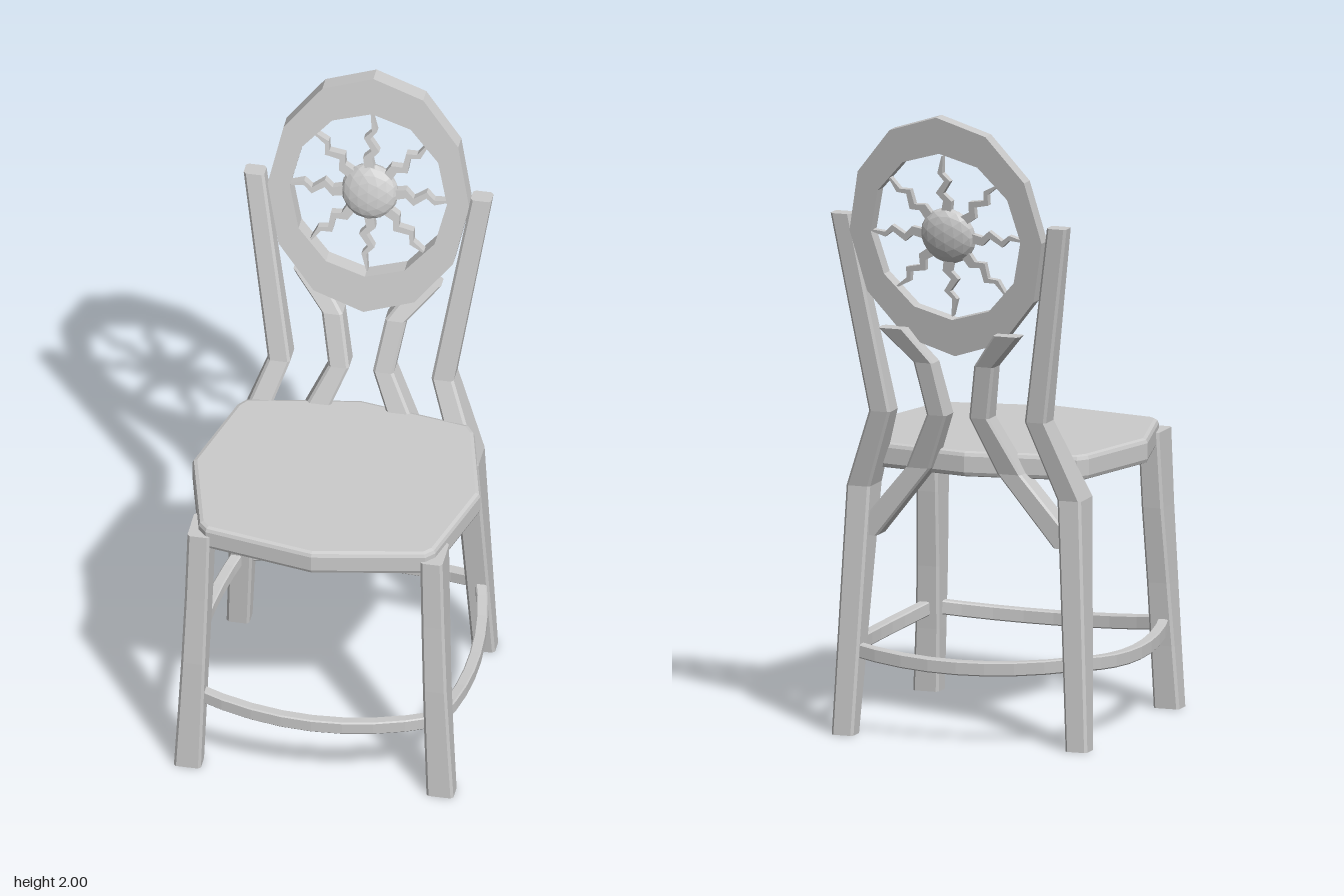
import * as THREE from 'three';

const material = new THREE.MeshStandardMaterial({ color: 0xcccccc, flatShading: true, side: THREE.DoubleSide });
const V = (x, y, z) => new THREE.Vector3(x, y, z);
const UP = V(0, 1, 0);

// Rectangle with chamfered corners round centre c, spanned by u and v.
function section(c, u, v, w, h, chamfer = 0.008) {
  const a = w / 2, b = h / 2, k = chamfer;
  return [[a, k - b], [a, b - k], [a - k, b], [k - a, b], [-a, b - k], [-a, k - b], [k - a, -b], [a - k, -b]]
    .map(([p, q]) => c.clone().addScaledVector(u, p).addScaledVector(v, q));
}

// Closed solid through a row of equal cross-sections.
function loft(rings) {
  const n = rings[0].length, pos = [];
  const tri = (...pts) => pts.forEach(p => pos.push(p.x, p.y, p.z));
  for (let r = 0; r < rings.length - 1; r++) {
    for (let i = 0; i < n; i++) {
      const j = (i + 1) % n, A = rings[r], B = rings[r + 1];
      tri(A[i], A[j], B[j]);
      tri(A[i], B[j], B[i]);
    }
  }
  const first = rings[0], last = rings[rings.length - 1];
  for (let i = 1; i < n - 1; i++) {
    tri(first[0], first[i + 1], first[i]);
    tri(last[0], last[i], last[i + 1]);
  }
  const g = new THREE.BufferGeometry();
  g.setAttribute('position', new THREE.Float32BufferAttribute(pos, 3));
  g.computeVertexNormals();
  return g;
}

// Upright bar from rows of [x, y, z, width, depth], bottom to top.
const bar = (rows, side) => loft(rows.map(([x, y, z, w, d]) =>
  section(V(side * x, y, z), V(1, 0, 0), V(0, 0, -1), w, d)));

// Stretcher bowing outward and sagging between two corners.
function stretcher(from, to, bow) {
  const dir = to.clone().sub(from).normalize();
  const out = UP.clone().cross(dir);
  const rings = [];
  for (let i = 0; i <= 8; i++) {
    const t = i / 8, arc = 4 * t * (1 - t);
    const c = from.clone().lerp(to, t).addScaledVector(out, bow * arc);
    c.y -= 0.025 * arc;
    rings.push(section(c, out, UP, 0.035, 0.044, 0.004));
  }
  return loft(rings);
}

// Lean a flat part backward and put it at the middle of the back.
function lean(g) {
  const p = g.attributes.position;
  for (let i = 0; i < p.count; i++) {
    p.setXYZ(i, p.getX(i), p.getY(i) + 1.615, p.getZ(i) - 0.422 - 0.21 * p.getY(i));
  }
  g.computeVertexNormals();
  return g;
}

const oval = (rx, ry, n = 12) => Array.from({ length: n }, (_, i) => {
  const a = (i / n) * Math.PI * 2;
  return new THREE.Vector2(rx * Math.sin(a), ry * Math.cos(a));
});

export function createModel() {
  const chair = new THREE.Group();
  chair.name = 'chair';
  const add = (name, geometry, parent = chair) => {
    const m = new THREE.Mesh(geometry, material);
    m.name = name;
    parent.add(m);
  };

  // Seat: octagon with clipped corners and bevelled rim
  const right = [[0, 0.52], [0.345, 0.455], [0.372, 0.425], [0.453, 0.115], [0.375, -0.19], [0.35, -0.225], [0, -0.285]];
  const left = right.slice(1, -1).reverse().map(([x, z]) => [-x, z]);
  const seatShape = new THREE.Shape([...right, ...left].map(([x, z]) => new THREE.Vector2(x, -z)));
  const seat = new THREE.ExtrudeGeometry(seatShape, {
    depth: 0.05, bevelThickness: 0.015, bevelSize: 0.015, bevelOffset: -0.015, bevelSegments: 2,
  });
  seat.rotateX(-Math.PI / 2).translate(0, 0.845, 0);
  add('seat', seat);

  // Legs, back posts and bent slats, mirrored
  for (const s of [1, -1]) {
    const label = s > 0 ? 'left' : 'right';
    add(label + 'FrontLeg', bar([
      [0.397, 0, 0.453, 0.085, 0.066], [0.388, 0.2, 0.446, 0.08, 0.076], [0.38, 0.4, 0.437, 0.075, 0.09],
      [0.372, 0.64, 0.418, 0.072, 0.108], [0.366, 0.88, 0.405, 0.07, 0.12],
    ], s));
    add(label + 'BackLegAndPost', bar([
      [0.386, 0, -0.301, 0.072, 0.064], [0.348, 0.78, -0.238, 0.078, 0.115],
      [0.257, 1.03, -0.31, 0.07, 0.08], [0.357, 1.66, -0.402, 0.065, 0.052],
    ], s));
    add(label + 'BackSlat', bar([
      [0.335, 0.625, -0.24, 0.09, 0.08], [0.15, 0.85, -0.255, 0.08, 0.08], [0.07, 1.03, -0.31, 0.065, 0.075],
      [0.1, 1.2, -0.35, 0.066, 0.065], [0.19, 1.31, -0.4, 0.085, 0.055],
    ], s));
  }

  // Four bowed stretchers between the legs
  const corners = [V(0.385, 0.268, 0.44), V(-0.385, 0.268, 0.44), V(-0.375, 0.268, -0.28), V(0.375, 0.268, -0.28)];
  ['front', 'right', 'back', 'left'].forEach((label, i) =>
    add(label + 'Stretcher', stretcher(corners[i], corners[(i + 1) % 4], i % 2 ? 0.05 : 0.065)));

  // Oval frame of the back
  const frame = new THREE.Shape(oval(0.317, 0.39));
  frame.holes.push(new THREE.Path(oval(0.247, 0.272)));
  add('ovalFrame', lean(new THREE.ExtrudeGeometry(frame, { depth: 0.05, bevelEnabled: false }).translate(0, 0, -0.025)));

  // Sun: faceted disc with eight zigzag rays
  const sun = new THREE.Group();
  sun.name = 'sun';
  chair.add(sun);
  add('sunDisc', lean(new THREE.IcosahedronGeometry(0.09, 2).scale(1, 1, 0.45)), sun);
  const zigzag = [[0.07, 0, 0.016], [0.115, 0.01, 0.014], [0.14, -0.014, 0.012], [0.18, 0.014, 0.01], [0.205, -0.008, 0.008], [0.262, 0.004, 0.002]];
  const rayShape = new THREE.Shape([
    ...zigzag.map(([r, o, w]) => new THREE.Vector2(r, o - w)),
    ...zigzag.map(([r, o, w]) => new THREE.Vector2(r, o + w)).reverse(),
  ]);
  for (let i = 0; i < 8; i++) {
    const ray = new THREE.ExtrudeGeometry(rayShape, { depth: 0.024, bevelEnabled: false });
    ray.translate(0, 0, -0.012).rotateZ((i * Math.PI) / 4);
    add('sunRay', lean(ray), sun);
  }
  return chair;
}
